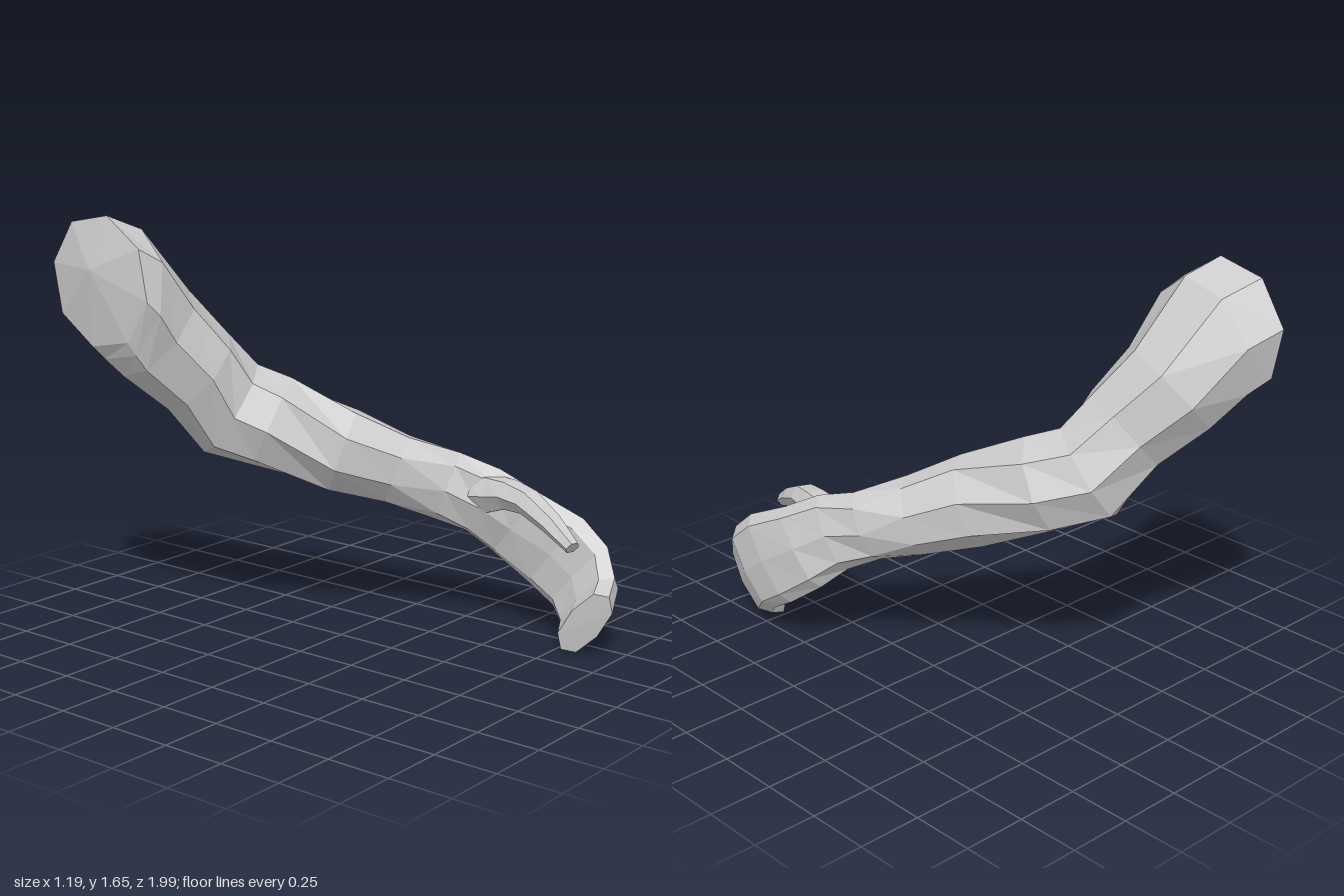
import * as THREE from 'three';

const UP = [0, 1, 0];

// Skins a run of oval rings; each ring is [centre, direction, half width, half height, up hint, squareness]
function loft(name, rings, sides, startCap, endCap) {
  const pos = [], index = [];
  for (const [c, d, a, b, hint = UP, e = 1] of rings) {
    const t = new THREE.Vector3(...d).normalize();
    const u = new THREE.Vector3(...hint).cross(t).normalize();
    const v = t.clone().cross(u);
    const soft = (s) => Math.sign(s) * Math.pow(Math.abs(s), e);
    for (let j = 0; j < sides; j++) {
      const th = (j / sides) * Math.PI * 2;
      const p = new THREE.Vector3(...c)
        .addScaledVector(u, a * soft(Math.cos(th)))
        .addScaledVector(v, b * soft(Math.sin(th)));
      pos.push(p.x, p.y, p.z);
    }
  }
  const n = rings.length, first = n * sides;
  pos.push(...startCap, ...endCap);
  for (let j = 0; j < sides; j++) {
    const k = (j + 1) % sides, last = (n - 1) * sides;
    for (let i = 0; i < n - 1; i++) {
      const p = i * sides, q = p + sides;
      index.push(p + j, p + k, q + k, p + j, q + k, q + j);
    }
    index.push(first, k, j, first + 1, last + j, last + k);
  }
  const indexed = new THREE.BufferGeometry();
  indexed.setAttribute('position', new THREE.Float32BufferAttribute(pos, 3));
  indexed.setIndex(index);
  const geo = indexed.toNonIndexed();
  geo.computeVertexNormals();
  const mesh = new THREE.Mesh(geo, new THREE.MeshStandardMaterial({ color: 0xcccccc, flatShading: true }));
  mesh.name = name;
  return mesh;
}

export function createModel() {
  const model = new THREE.Group();
  model.name = 'arm';

  // Shoulder, upper arm, elbow, forearm and wrist; the hints roll the oval sections
  const shoulderRoll = [0, 1, 0.2], forearmRoll = [-0.35, 1, 0];
  const arm = [
    [[-0.555, 1.4, -0.73], [1, 0, 0.05], 0.27, 0.26, shoulderRoll],
    [[-0.47, 1.345, -0.69], [0.95, -0.22, 0.17], 0.262, 0.262, shoulderRoll],
    [[-0.35, 1.185, -0.635], [0.68, -0.66, 0.34], 0.23, 0.21],
    [[-0.23, 1.03, -0.53], [0.66, -0.66, 0.38], 0.195, 0.19],
    [[-0.11, 0.87, -0.47], [0.58, -0.5, 0.55], 0.19, 0.205],
    [[-0.005, 0.815, -0.34], [0.5, -0.38, 0.76], 0.195, 0.195],
    [[0.14, 0.71, -0.1], [0.5, -0.33, 0.8], 0.162, 0.18, forearmRoll],
    [[0.27, 0.635, 0.07], [0.5, -0.33, 0.8], 0.125, 0.155, forearmRoll],
    [[0.38, 0.57, 0.23], [0.5, -0.36, 0.78], 0.095, 0.145],
  ];

  // Flat hand whose joined fingers curl inward at the tip
  const tilt = [0, 0.77, 0.64];
  const hand = [
    [[0.445, 0.52, 0.36], [0.45, -0.45, 0.77], 0.08, 0.155, [0, 0.9, 0.4], 0.85],
    [[0.505, 0.435, 0.48], [0.3, -0.6, 0.75], 0.065, 0.175, tilt, 0.8],
    [[0.54, 0.34, 0.645], [0.1, -0.62, 0.78], 0.05, 0.195, tilt, 0.75],
    [[0.535, 0.26, 0.76], [-0.2, -0.6, 0.7], 0.05, 0.185, tilt, 0.75],
    [[0.485, 0.175, 0.835], [-0.65, -0.45, 0.5], 0.06, 0.17, tilt, 0.8],
    [[0.39, 0.13, 0.875], [-1, -0.1, 0.05], 0.068, 0.168, tilt, 0.85],
  ];
  model.add(loft('armAndHand', [...arm, ...hand], 8, [-0.6, 1.45, -0.74], [0.385, 0.13, 0.875]));

  // Thumb, swelling out of the wrist and arching away from the hand
  const thumb = [
    [[0.415, 0.545, 0.3], [0.1, 0, 1], 0.06, 0.085],
    [[0.42, 0.56, 0.42], [-0.1, 0.1, 0.9], 0.072, 0.08],
    [[0.4, 0.575, 0.52], [-0.35, 0, 0.9], 0.065, 0.062],
    [[0.375, 0.567, 0.62], [-0.4, -0.3, 0.9], 0.058, 0.053],
    [[0.335, 0.515, 0.75], [-0.3, -0.5, 0.85], 0.048, 0.042],
    [[0.295, 0.45, 0.87], [-0.3, -0.55, 0.8], 0.03, 0.028],
  ];
  model.add(loft('thumb', thumb, 6, thumb[0][0], thumb[5][0]));

  return model;
}
